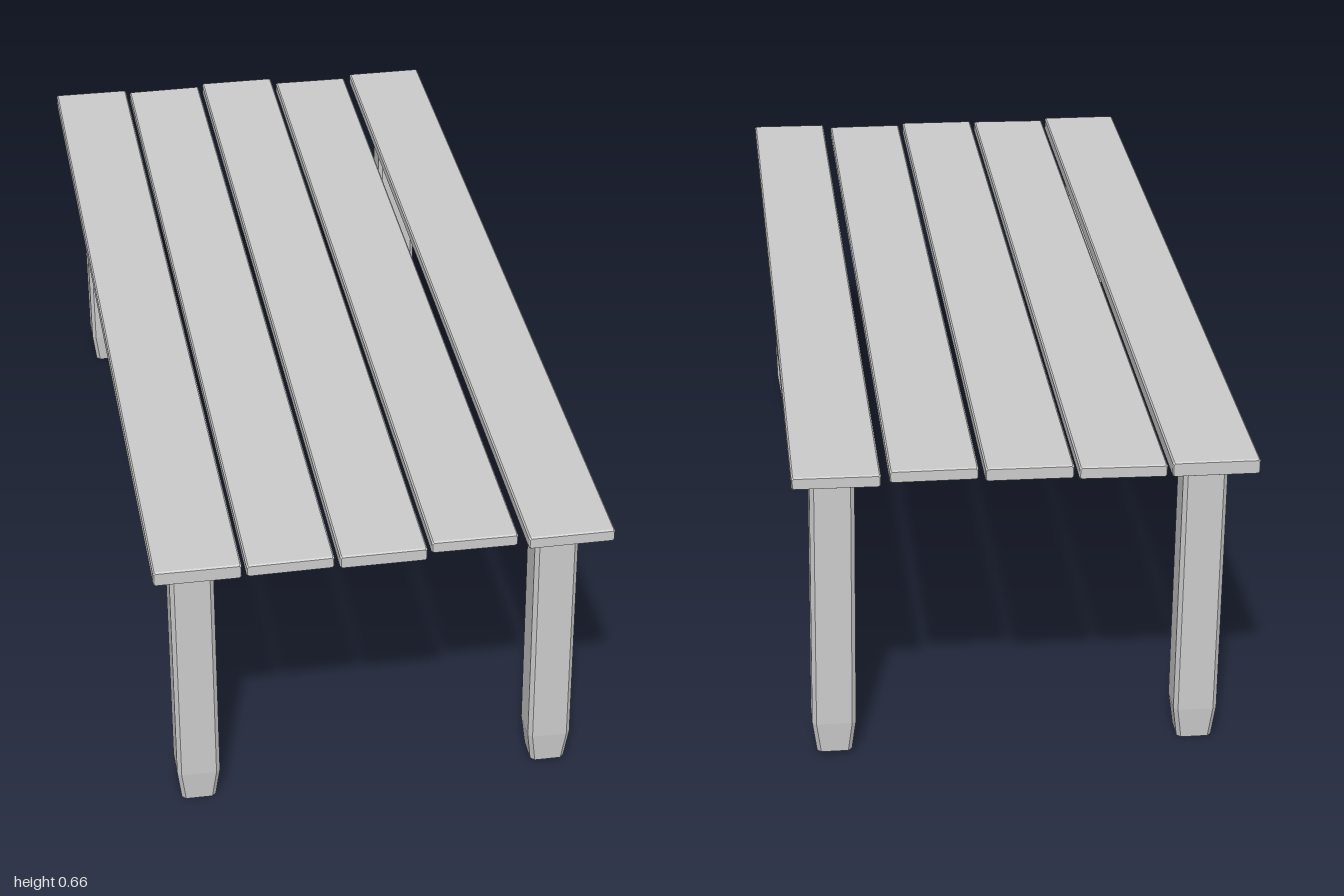
import * as THREE from 'three';

const material = new THREE.MeshStandardMaterial({ color: 0xcccccc, flatShading: true });

// Bar along y with chamfered corners, lofted from [y, width, depth, shiftX] sections
function chamferedBar(sections, chamfer) {
  const rings = sections.map(([y, w, d, shift = 0]) => {
    const a = w / 2, b = d / 2, c = chamfer;
    return [[a, b - c], [a - c, b], [c - a, b], [-a, b - c], [-a, c - b], [c - a, -b], [a - c, -b], [a, c - b]]
      .map(([x, z]) => [x + shift, y, z]);
  });
  const pos = [], n = 8;
  for (let r = 0; r < rings.length - 1; r++) {
    for (let i = 0; i < n; i++) {
      const j = (i + 1) % n, lo = rings[r], hi = rings[r + 1];
      pos.push(...lo[i], ...hi[j], ...lo[j], ...lo[i], ...hi[i], ...hi[j]);
    }
  }
  const bottom = rings[0], top = rings[rings.length - 1];
  for (let i = 1; i < n - 1; i++) {
    pos.push(...bottom[0], ...bottom[i], ...bottom[i + 1], ...top[0], ...top[i + 1], ...top[i]);
  }
  const geometry = new THREE.BufferGeometry();
  geometry.setAttribute('position', new THREE.Float32BufferAttribute(pos, 3));
  geometry.computeVertexNormals();
  return geometry;
}

export function createModel() {
  const model = new THREE.Group();

  // Tabletop planks: centre x, centre y, thickness, length, roll, pitch
  const planks = [
    [-0.358, 0.637, 0.030, 2.00, 0.003, 0],
    [-0.182, 0.636, 0.025, 1.995, 0.014, 0],
    [-0.005, 0.640, 0.027, 2.00, 0.006, 0.003],
    [0.173, 0.6395, 0.025, 1.967, 0, 0],
    [0.357, 0.641, 0.025, 2.00, 0.008, 0],
  ];
  planks.forEach(([x, y, thickness, length, roll, pitch], i) => {
    const h = length / 2, e = 0.004, w = 0.167;
    const geometry = chamferedBar([
      [-h, w - e, thickness - e], [-h + e, w, thickness], [h - e, w, thickness], [h, w - e, thickness - e],
    ], 0.003);
    geometry.rotateX(Math.PI / 2);
    const plank = new THREE.Mesh(geometry, material);
    plank.name = `plank${i + 1}`;
    plank.position.set(x, y, 0);
    plank.rotation.set(pitch, 0, roll);
    model.add(plank);
  });

  // Slightly leaning legs with tapered feet: name, x, z, foot height
  const legs = [
    ['frontRightLeg', -0.35, 0.84, 0],
    ['frontLeftLeg', 0.366, 0.84, 0.008],
    ['backRightLeg', -0.35, -0.868, 0],
    ['backLeftLeg', 0.366, -0.868, 0.008],
  ];
  for (const [name, x, z, foot] of legs) {
    const leg = new THREE.Mesh(chamferedBar([
      [0, 0.069, 0.067, 0], [0.065, 0.086, 0.078, 0], [0.624, 0.086, 0.078, -0.006],
    ], 0.008), material);
    leg.name = name;
    leg.position.set(x, foot, z);
    model.add(leg);
  }

  return model;
}
